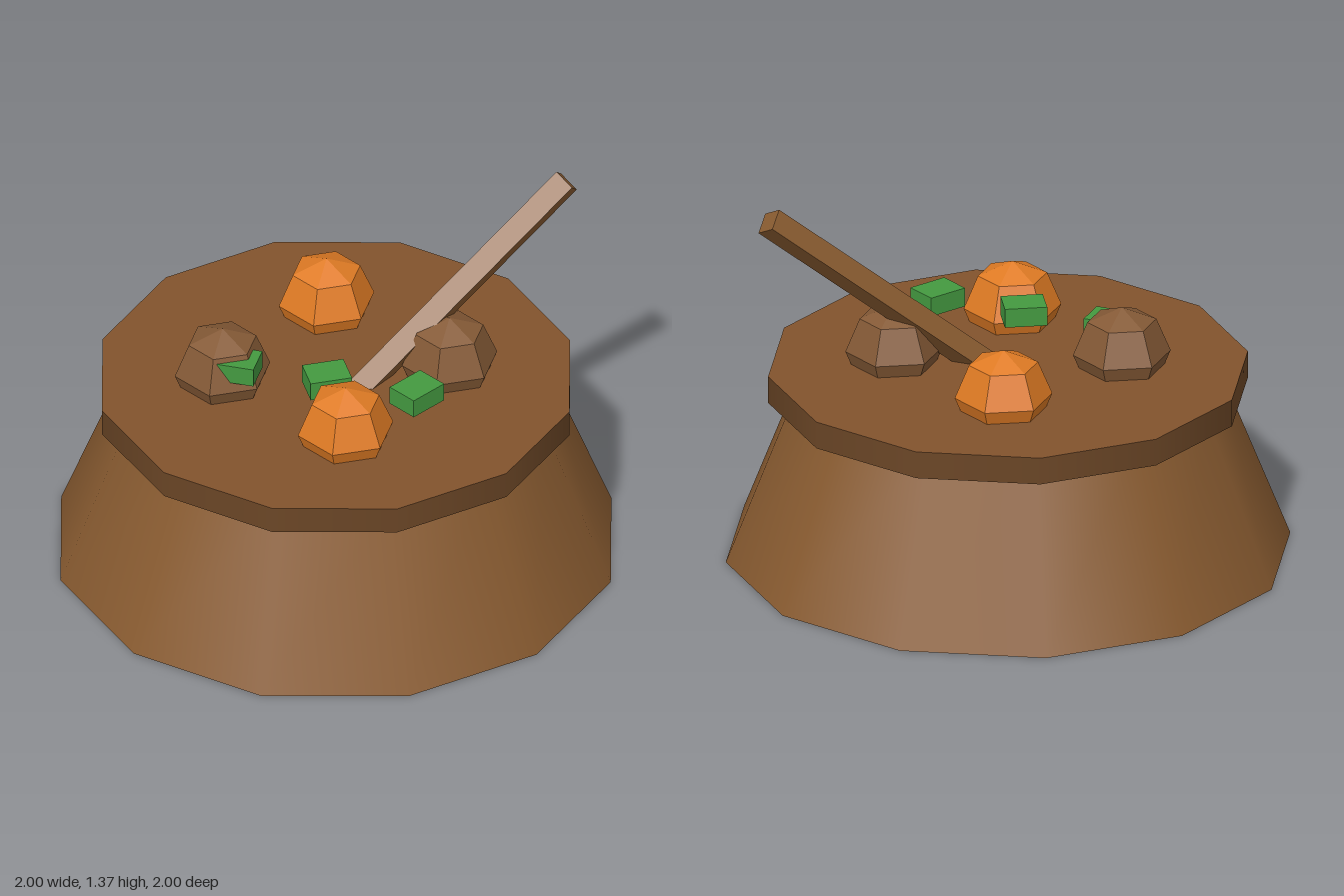
import * as THREE from 'three';

const mat = (name, color, flatShading = false) => {
  const m = new THREE.MeshStandardMaterial({ color, flatShading });
  m.name = name;
  return m;
};

export function createModel() {
  const group = new THREE.Group();
  const wood = mat('wood', 0x8a5c31);
  const rimWood = mat('dark wood', 0x6b4626);
  const broth = mat('broth', 0x82532d);
  const meat = mat('meat', 0x855a36, true);
  const carrot = mat('carrot', 0xe07b24, true);
  const herb = mat('herb', 0x449a40);

  const add = (name, geometry, material, x, y, z) => {
    const mesh = new THREE.Mesh(geometry, material);
    mesh.name = name;
    mesh.position.set(x, y, z);
    group.add(mesh);
    return mesh;
  };

  // Twelve-sided bowl, wider at the foot
  add('bowl', new THREE.CylinderGeometry(0.745, 1, 0.65, 12), wood, 0, 0.325, 0);

  // Rim filled with stew: side, top, underside
  add('rim', new THREE.CylinderGeometry(0.85, 0.85, 0.1, 12), [rimWood, broth, rimWood], 0, 0.65, 0);

  // Four chunks on a ring, alternating meat and carrot
  const chunk = new THREE.SphereGeometry(0.173, 6, 4).rotateY(Math.PI / 2);
  for (let i = 0; i < 4; i++) {
    const a = 0.35 + i * Math.PI / 2;
    const isMeat = i % 2 === 0;
    add(isMeat ? 'meatChunk' : 'carrotChunk', chunk, isMeat ? meat : carrot,
      0.4 * Math.cos(a), 0.75, -0.4 * Math.sin(a));
  }

  // Herb pieces in a row, each turned further
  const leaf = new THREE.BoxGeometry(0.15, 0.07, 0.12);
  for (let i = 0; i < 3; i++) {
    add('herbPiece', leaf, herb, -0.305 + i * 0.327, 0.82, 0.2).rotation.y = i * Math.PI / 6;
  }

  // Spoon handle leaning back and to the side
  const length = 1.1;
  const handle = add('spoonHandle', new THREE.BoxGeometry(0.08, length, 0.08), wood, 0.703, 1.327, -0.499);
  handle.rotation.set(-0.67, 0, -0.63);
  handle.translateY(-length / 2);

  return group;
}
